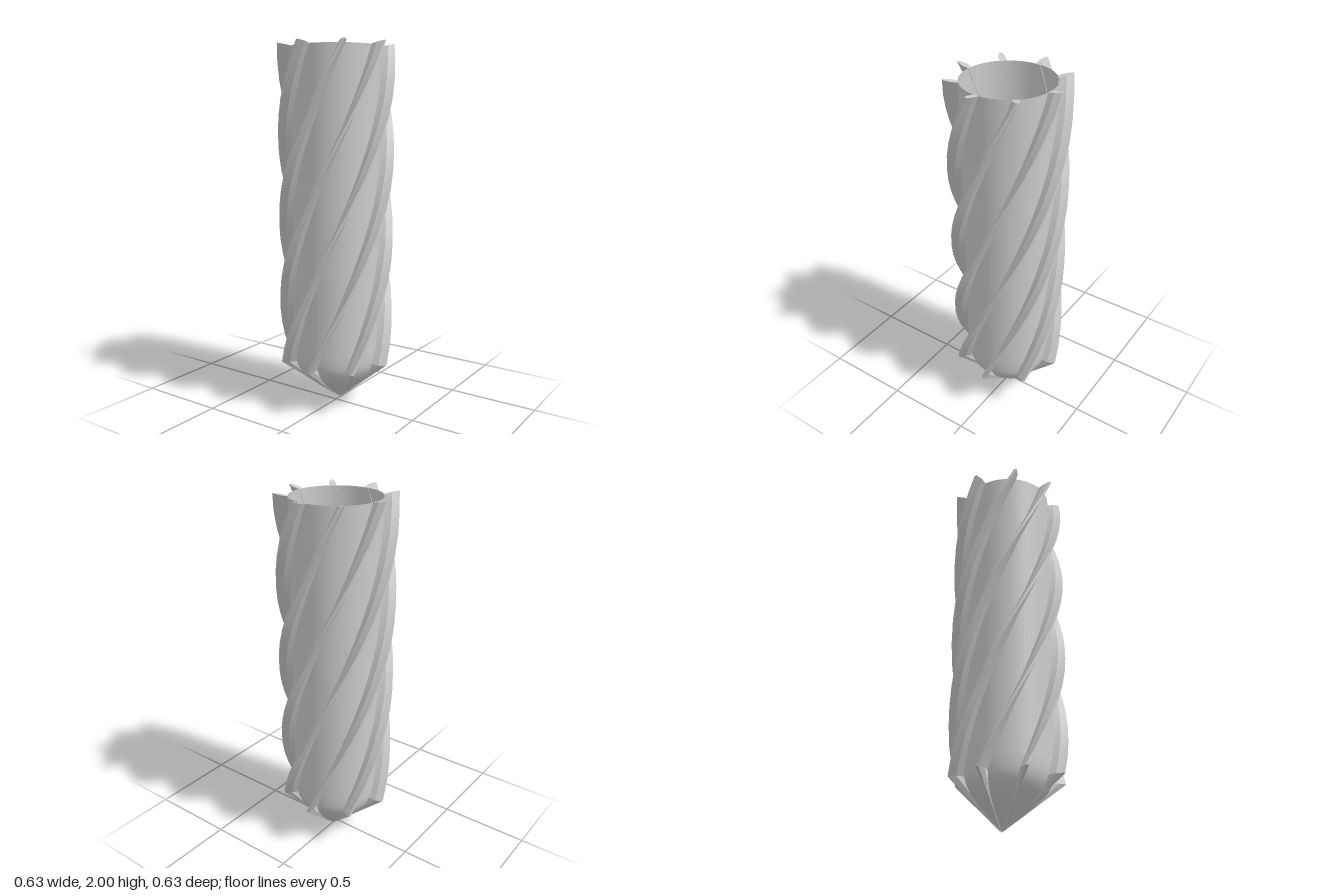
import * as THREE from 'three';
import { mergeGeometries } from 'three/addons/utils/BufferGeometryUtils.js';

const FINS = 8, ROWS = 18;
const CORE_R = 0.24, SHOULDER = 0.26, RIM = 1.985;
const TIP = new THREE.Vector3(0, 0, -0.04); // the point sits slightly behind the axis
const START = THREE.MathUtils.degToRad(5.5), TWIST = THREE.MathUtils.degToRad(171);

// Fin cross-section: [radius, sideways offset]
const SECTION = [
  [0.237, -0.014], [0.275, -0.018], [0.314, -0.008],
  [0.314, 0.008], [0.275, 0.018], [0.237, 0.014],
];

// Section ring at fraction t of the way up the helix
function ring(t) {
  const a = START + TWIST * t, s = Math.sin(a), c = Math.cos(a);
  return SECTION.map(([r, w]) => {
    const top = RIM + 0.015 * (r - 0.237) / 0.077;
    return new THREE.Vector3(r * s + w * c, THREE.MathUtils.lerp(SHOULDER, top, t), r * c - w * s);
  });
}

function geometryFrom(points, index) {
  const g = new THREE.BufferGeometry().setFromPoints(points);
  g.setIndex(index);
  g.computeVertexNormals();
  return g;
}

// Skin over rings: smooth along the length, sharp between section sides
function skin(rings) {
  const n = SECTION.length;
  return SECTION.map((_, i) => {
    const points = [], index = [];
    rings.forEach((q, k) => {
      points.push(q[i], q[(i + 1) % n]);
      const b = 2 * k;
      if (k > 0) index.push(b - 2, b - 1, b + 1, b - 2, b + 1, b);
    });
    return geometryFrom(points, index);
  });
}

function finGeometry() {
  const rings = Array.from({ length: ROWS + 1 }, (_, k) => ring(k / ROWS));
  // straight taper from the shoulder to the common point
  const taper = [0, 0.5, 1].map(f => rings[0].map(p => TIP.clone().lerp(p, f)));
  const cap = geometryFrom(rings[ROWS], [0, 1, 2, 0, 2, 3, 0, 3, 4, 0, 4, 5]);
  return mergeGeometries([...skin(rings), ...skin(taper), cap]);
}

// Hollow, open-topped core with a rounded conical bottom
function coreGeometry() {
  const bottom = new THREE.SplineCurve([
    [0, 0.006], [0.075, 0.067], [0.15, 0.135], [0.205, 0.195], [0.233, 0.255], [CORE_R, 0.34],
  ].map(p => new THREE.Vector2(...p))).getPoints(20);
  bottom[0].x = 0;
  const g = new THREE.LatheGeometry([...bottom, new THREE.Vector2(CORE_R, RIM)], 64);
  const pos = g.attributes.position;
  for (let i = 0; i < pos.count; i++) {
    const r = Math.hypot(pos.getX(i), pos.getZ(i));
    pos.setZ(i, pos.getZ(i) + TIP.z * Math.max(0, 1 - r / CORE_R));
  }
  return g;
}

export function createModel() {
  const model = new THREE.Group();
  model.name = 'drillBit';
  const material = new THREE.MeshStandardMaterial({ color: 0xcccccc, side: THREE.DoubleSide });

  const core = new THREE.Mesh(coreGeometry(), material);
  core.name = 'core';
  model.add(core);

  // Spiral fins: each turned copy keeps its lower end on the shifted point
  const base = finGeometry();
  for (let i = 0; i < FINS; i++) {
    const g = base.clone().rotateY(i * 2 * Math.PI / FINS);
    const turnedTip = TIP.clone().applyAxisAngle(new THREE.Vector3(0, 1, 0), i * 2 * Math.PI / FINS);
    const pos = g.attributes.position;
    for (let k = 0; k < pos.count; k++) {
      const f = Math.max(0, 1 - pos.getY(k) / SHOULDER);
      pos.setX(k, pos.getX(k) + (TIP.x - turnedTip.x) * f);
      pos.setZ(k, pos.getZ(k) + (TIP.z - turnedTip.z) * f);
    }
    const fin = new THREE.Mesh(g, material);
    fin.name = `spiralFin${i + 1}`;
    model.add(fin);
  }
  return model;
}
